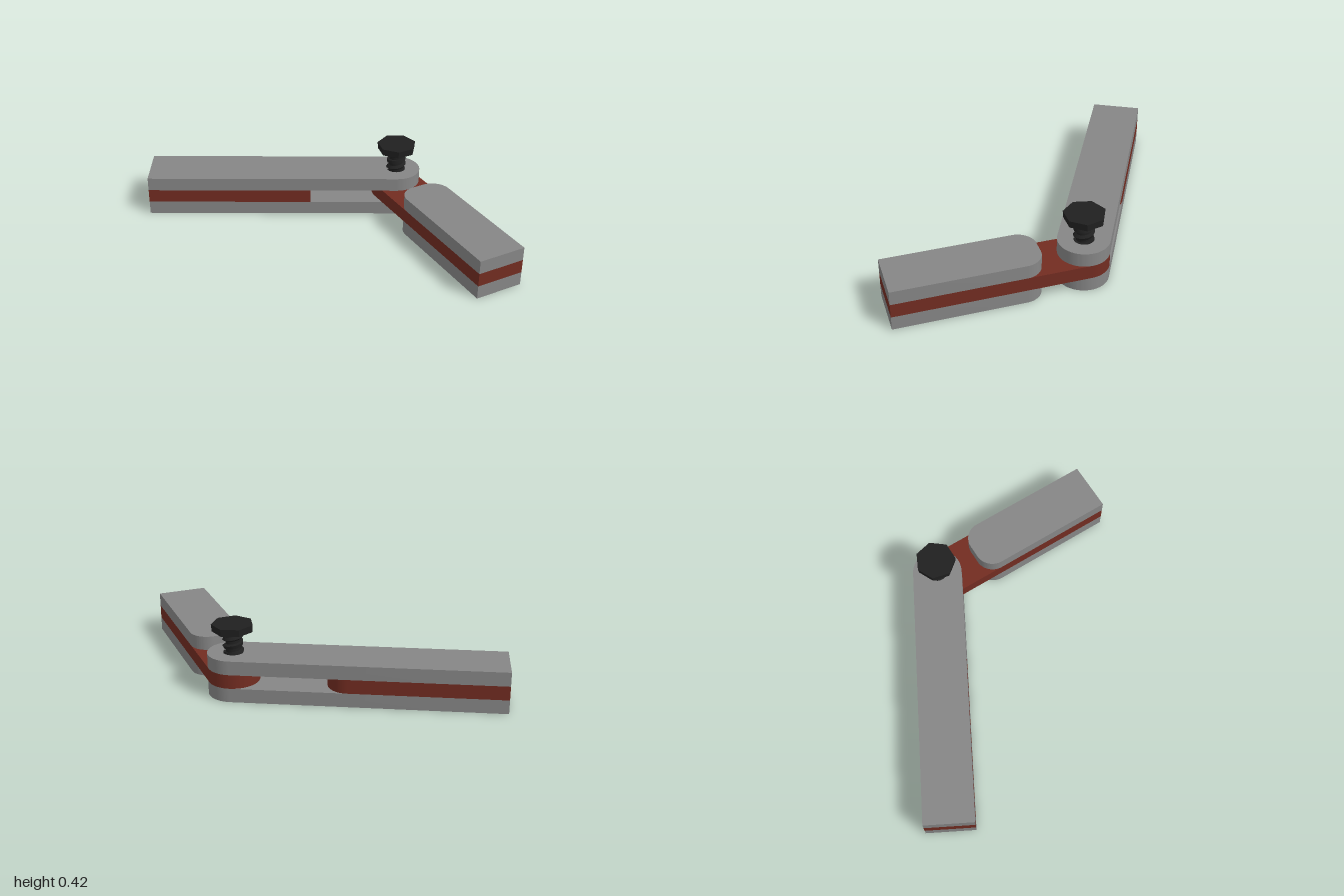
import * as THREE from 'three';
import { toCreasedNormals } from 'three/addons/utils/BufferGeometryUtils.js';

const HALF = 0.15;      // half width of both arms
const LAYER = 0.0833;   // thickness of one layer
const HOLE = 0.06;      // pivot hole radius

// Helical path for the screw thread
class Helix extends THREE.Curve {
  constructor(radius, y0, y1, turns) {
    super();
    Object.assign(this, { radius, y0, y1, turns });
  }
  getPoint(t, target = new THREE.Vector3()) {
    const a = t * this.turns * Math.PI * 2;
    return target.set(
      this.radius * Math.cos(a),
      this.y0 + (this.y1 - this.y0) * t,
      -this.radius * Math.sin(a)
    );
  }
}

// Flat layer along +x from x = start to end; the two near corners have their own radii
function layerGeometry(start, end, rNeg, rPos, hasHole) {
  const s = new THREE.Shape();
  s.moveTo(end, -HALF);
  s.lineTo(end, HALF);
  s.lineTo(start + rPos, HALF);
  if (rPos > 0) s.absarc(start + rPos, HALF - rPos, rPos, Math.PI / 2, Math.PI, false);
  s.lineTo(start, -HALF + rNeg);
  if (rNeg > 0) s.absarc(start + rNeg, -HALF + rNeg, rNeg, Math.PI, Math.PI * 1.5, false);
  s.closePath();
  if (hasHole) {
    const h = new THREE.Path();
    h.absarc(0, 0, HOLE, 0, Math.PI * 2, true);
    s.holes.push(h);
  }
  const g = new THREE.ExtrudeGeometry(s, { depth: LAYER, bevelEnabled: false, curveSegments: 16 });
  g.rotateX(-Math.PI / 2);
  return toCreasedNormals(g, 0.5);
}

export function createModel() {
  const grey = new THREE.MeshStandardMaterial({ name: 'grey', color: 0x868686 });
  const red = new THREE.MeshStandardMaterial({ name: 'rustRed', color: 0x722c21 });
  const black = new THREE.MeshStandardMaterial({ name: 'black', color: 0x202020 });

  const model = new THREE.Group();
  model.name = 'hingedArms';

  // Everything turns around the pivot
  const pivot = new THREE.Group();
  pivot.name = 'pivot';
  pivot.position.set(0.65, 0, -0.13);
  model.add(pivot);

  const add = (parent, name, geometry, material, y = 0) => {
    const m = new THREE.Mesh(geometry, material);
    m.name = name;
    m.position.y = y;
    parent.add(m);
    return m;
  };

  // An arm is two grey plates with a red core between them
  const addArm = (name, angle, plate, core) => {
    const arm = new THREE.Group();
    arm.name = name;
    arm.rotation.y = angle;
    add(arm, 'lowerPlate', plate, grey, 0);
    add(arm, 'core', core, red, LAYER);
    add(arm, 'upperPlate', plate, grey, LAYER * 2);
    pivot.add(arm);
  };

  // Short arm: its core sticks out as a tongue around the pivot
  addArm('tongueArm', -Math.PI / 2,
    layerGeometry(0.265, 1.13, 0.11, 0.11, false),
    layerGeometry(-HALF, 1.13, HALF, HALF, true));

  // Long arm: its plates fork around the tongue, the core ends in a stop
  addArm('forkArm', Math.atan2(0.472, -0.882),
    layerGeometry(-HALF, 1.565, HALF, HALF, true),
    layerGeometry(0.545, 1.565, 0.12, 0, false));

  // Screw, partly driven into the hole
  const screw = new THREE.Group();
  screw.name = 'screw';
  pivot.add(screw);
  add(screw, 'shank', new THREE.CylinderGeometry(0.043, 0.043, 0.2, 24), black, 0.285);
  const thread = new THREE.TubeGeometry(new Helix(0.047, 0.2, 0.378, 4), 128, 0.015, 4, false);
  add(screw, 'thread', toCreasedNormals(thread, 0.6), black);
  const head = new THREE.CylinderGeometry(0.122, 0.118, 0.043, 7);
  add(screw, 'head', toCreasedNormals(head, 0.5), black, 0.402).rotation.y = Math.PI;

  return model;
}
